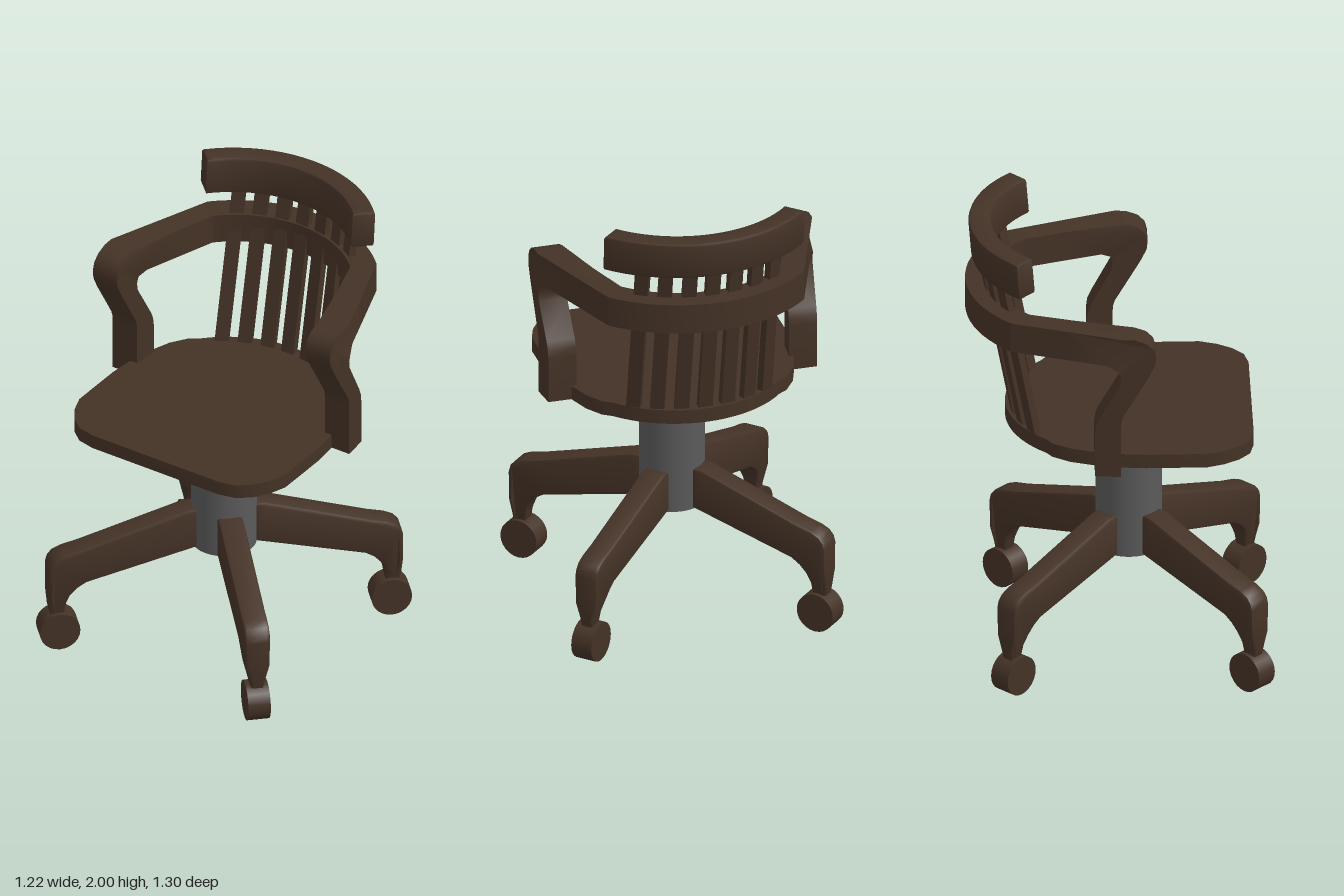
import * as THREE from 'three';
import { toCreasedNormals } from 'three/addons/utils/BufferGeometryUtils.js';

const wood = new THREE.MeshStandardMaterial({ color: 0x443226 });
const metal = new THREE.MeshStandardMaterial({ color: 0x5a5a5a });

const BASE_Z = 0.043; // centre of the column and legs
const CREST_Z = -0.03; // centre of the crest arc
const lerp = THREE.MathUtils.lerp;

function part(group, name, geometry, material = wood) {
  const mesh = new THREE.Mesh(geometry, material);
  mesh.name = name;
  group.add(mesh);
  return mesh;
}

// Move every vertex by a rule, then rebuild the normals
function reshape(geometry, rule) {
  const p = geometry.attributes.position;
  const v = new THREE.Vector3();
  for (let i = 0; i < p.count; i++) {
    rule(v.fromBufferAttribute(p, i));
    p.setXYZ(i, v.x, v.y, v.z);
  }
  geometry.computeVertexNormals();
  return toCreasedNormals(geometry, 0.6);
}

const shapeOf = (points) => new THREE.Shape(points.map(([x, y]) => new THREE.Vector2(x, y)));

// Extrude a plan outline (x, -z) upward from y0 to y1
function slab(points, y0, y1, bevel = 0) {
  return new THREE.ExtrudeGeometry(shapeOf(points), {
    depth: y1 - y0 - 2 * bevel, bevelEnabled: bevel > 0,
    bevelSize: bevel, bevelThickness: bevel, bevelOffset: -bevel, bevelSegments: 2,
  }).rotateX(-Math.PI / 2).translate(0, y0 + bevel, 0);
}

// Plan points on an arc around the back of the chair
function arc(radius, half, centreZ, steps = 20) {
  const points = [];
  for (let i = 0; i <= steps; i++) {
    const a = lerp(half, -half, i / steps);
    points.push([radius * Math.sin(a), radius * Math.cos(a) - centreZ]);
  }
  return points;
}

function band(rIn, rOut, half, centreZ, y0, y1, bevel) {
  return slab([...arc(rOut, half, centreZ), ...arc(rIn, half, centreZ).reverse()], y0, y1, bevel);
}

function seat() {
  const side = [[0.325, -0.565], [0.405, -0.547], [0.46, -0.5], [0.503, -0.435], [0.53, -0.36],
    [0.53, -0.1], [0.52, 0], [0.495, 0.12], [0.46, 0.22], [0.41, 0.295]];
  const mirrored = side.map(([x, y]) => [-x, y]).reverse();
  return toCreasedNormals(slab([...side, ...arc(0.5, 0.83, 0.015), ...mirrored], 1.066, 1.13), 0.6);
}

// Arm: bent side profile (z, y) whose rail runs inward to meet the back bow
function arm() {
  const profile = [[-0.4, 1.72], [-0.2, 1.72], [0, 1.72], [0.05, 1.718], [0.1, 1.7], [0.13, 1.67],
    [0.14, 1.635], [0.135, 1.595], [0.108, 1.54], [0, 1.355], [-0.008, 1.33], [-0.01, 1.3],
    [-0.01, 1.066], [-0.12, 1.066], [-0.12, 1.27], [-0.115, 1.31], [-0.1, 1.345], [-0.015, 1.5],
    [-0.01, 1.535], [-0.02, 1.565], [-0.06, 1.585], [-0.2, 1.585], [-0.4, 1.585]];
  const geometry = new THREE.ExtrudeGeometry(shapeOf(profile), { depth: 1, bevelEnabled: false });
  geometry.rotateY(-Math.PI / 2); // profile now in z, y with the thickness in -x
  return reshape(geometry, (v) => {
    const outer = v.x > -0.5;
    if (v.y > 1.57) {
      const t = THREE.MathUtils.clamp(-v.z / 0.4, 0, 1);
      v.x = outer ? lerp(0.61, 0.435, t) : lerp(0.485, 0.354, t);
      v.z += outer ? -0.075 * t : 0.006 * t;
    } else {
      v.x = (outer ? 0.61 : 0.485) + Math.min(0, v.z) * 0.11;
    }
  });
}

// Leg: side profile (radius, y), thinned toward the foot
function leg() {
  const profile = [[0.12, 0.45], [0.605, 0.325], [0.645, 0.3], [0.675, 0.265], [0.69, 0.22], [0.7, 0.15],
    [0.755, 0.15], [0.765, 0.2], [0.77, 0.27], [0.77, 0.4], [0.762, 0.43], [0.74, 0.455], [0.7, 0.473],
    [0.63, 0.49], [0.17, 0.635], [0.12, 0.635]];
  const geometry = new THREE.ExtrudeGeometry(shapeOf(profile), {
    depth: 0.08, bevelSize: 0.015, bevelThickness: 0.015, bevelOffset: -0.015, bevelSegments: 2,
  }).translate(0, 0, -0.04);
  return reshape(geometry, (v) => {
    v.z *= lerp(0.5, 1, THREE.MathUtils.smoothstep(v.y, 0.17, 0.3));
  });
}

export function createModel() {
  const chair = new THREE.Group();
  chair.name = 'swivelChair';

  part(chair, 'seat', seat());
  part(chair, 'column', new THREE.CylinderGeometry(0.141, 0.141, 0.625, 32), metal)
    .position.set(0, 0.7575, BASE_Z);

  // Four legs, each with a caster
  const legGeometry = leg();
  const casterGeometry = new THREE.CylinderGeometry(0.0875, 0.0875, 0.097, 24).rotateX(Math.PI / 2);
  for (let i = 0; i < 4; i++) {
    const unit = new THREE.Group();
    unit.name = 'legUnit';
    part(unit, 'leg', legGeometry);
    part(unit, 'caster', casterGeometry).position.set(0.72, 0.0875, 0);
    unit.rotation.y = Math.PI / 4 + (i * Math.PI) / 2;
    unit.position.z = BASE_Z;
    chair.add(unit);
  }

  // Arms and the bow that joins them behind the spindles
  const left = arm();
  part(chair, 'leftArm', left);
  const right = left.clone().scale(-1, 1, 1);
  for (const name of ['position', 'normal']) { // restore the winding after mirroring
    const a = right.attributes[name].array;
    for (let i = 0; i < a.length; i += 9) {
      for (let k = 0; k < 3; k++) [a[i + k], a[i + 3 + k]] = [a[i + 3 + k], a[i + k]];
    }
  }
  right.computeVertexNormals();
  part(chair, 'rightArm', toCreasedNormals(right, 0.6));
  part(chair, 'backBow', toCreasedNormals(band(0.5, 0.615, Math.PI / 4, -0.04, 1.585, 1.72), 0.6));

  // Crest rail, leaning slightly back
  const crest = band(0.515, 0.612, 0.815, CREST_Z, 1.833, 2, 0.012);
  part(chair, 'crestRail', reshape(crest, (v) => { v.z += (2 - v.y) * 0.08; }));

  // Seven leaning spindles following the curve of the back
  for (const x of [-0.29, -0.2, -0.1, 0, 0.1, 0.2, 0.29]) {
    const angle = Math.asin(x / 0.555);
    const z = CREST_Z - 0.555 * Math.cos(angle);
    const spindle = new THREE.BoxGeometry(0.062, 0.78, 0.032).rotateY(-angle).translate(x, 1.49, z);
    part(chair, 'spindle', reshape(spindle.toNonIndexed(), (v) => { v.z += (1.83 - v.y) * 0.19; }));
  }
  return chair;
}
